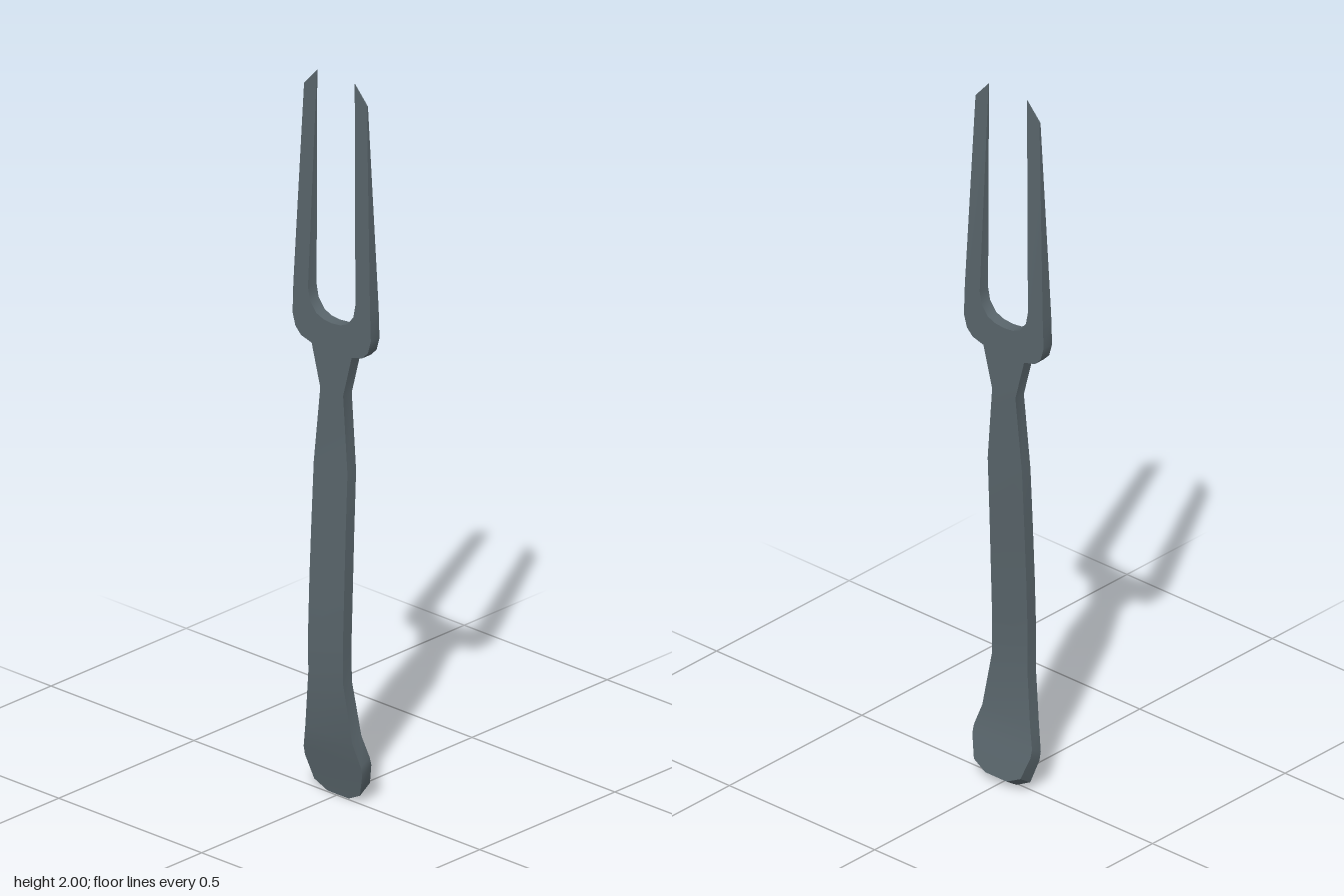
import * as THREE from 'three';
import { toCreasedNormals } from 'three/addons/utils/BufferGeometryUtils.js';

// Handle cross-sections: [y, half width, front z, back z, upward shift of the back edge]
const HANDLE = [
  [0.003, 0.037, -0.005, -0.043, 0.025],
  [0.025, 0.08, -0.001, -0.038, 0.024],
  [0.09, 0.1, 0.012, -0.022, 0.02],
  [0.115, 0.1, 0.017, -0.016, 0.018],
  [0.18, 0.082, 0.03, -0.004, 0.012],
  [0.34, 0.061, 0.041, 0.009, 0.003],
  [0.45, 0.061, 0.042, 0.01, 0],
  [0.6, 0.061, 0.037, 0.005, 0],
  [0.75, 0.06, 0.031, -0.001, 0],
  [0.92, 0.059, 0.023, -0.009, 0],
  [1.13, 0.04, 0.019, -0.013, 0],
  [1.245, 0.07, 0.019, -0.013, 0],
];

// Right half of the fork head, from the neck round the tine to the crotch
const HEAD = [
  [0.07, 1.245], [0.107, 1.255], [0.127, 1.275], [0.137, 1.31], [0.134, 1.395],
  [0.11, 1.95], [0.066, 2.0],
  [0.083, 1.395], [0.076, 1.36], [0.055, 1.333], [0.03, 1.323], [0, 1.32],
];

// Rectangular sections joined in a loop, closed at the butt
function handleGeometry() {
  const positions = [], index = [];
  for (const [y, w, front, back, lift] of HANDLE) {
    positions.push(-w, y, front, w, y, front, w, y + lift, back, -w, y + lift, back);
  }
  for (let row = 0; row < HANDLE.length - 1; row++) {
    for (let k = 0; k < 4; k++) {
      const a = row * 4 + k, b = row * 4 + (k + 1) % 4;
      index.push(a, b, b + 4, a, b + 4, a + 4);
    }
  }
  index.push(0, 3, 2, 0, 2, 1);
  const geometry = new THREE.BufferGeometry();
  geometry.setAttribute('position', new THREE.Float32BufferAttribute(positions, 3));
  geometry.setIndex(index);
  return toCreasedNormals(geometry, 0.6);
}

// Extruded fork outline whose tines thin towards their points
function headGeometry() {
  const mirrored = HEAD.slice(0, -1).reverse().map(([x, y]) => [-x, y]);
  const shape = new THREE.Shape([...HEAD, ...mirrored].map(([x, y]) => new THREE.Vector2(x, y)));
  const geometry = new THREE.ExtrudeGeometry(shape, { depth: 1, bevelEnabled: false });
  const p = geometry.attributes.position;
  for (let i = 0; i < p.count; i++) {
    const t = Math.max(0, (p.getY(i) - 1.395) / 0.605);
    p.setZ(i, 0.003 + (p.getZ(i) - 0.5) * 0.032 * (1 - 0.96 * t));
  }
  return toCreasedNormals(geometry, 0.6);
}

export function createModel() {
  const group = new THREE.Group();
  group.name = 'carvingFork';
  const steel = new THREE.MeshStandardMaterial({ color: 0x59656b });
  steel.name = 'dark steel';

  const handle = new THREE.Mesh(handleGeometry(), steel);
  handle.name = 'handle';
  const head = new THREE.Mesh(headGeometry(), steel);
  head.name = 'forkHead';
  group.add(handle, head);
  return group;
}
